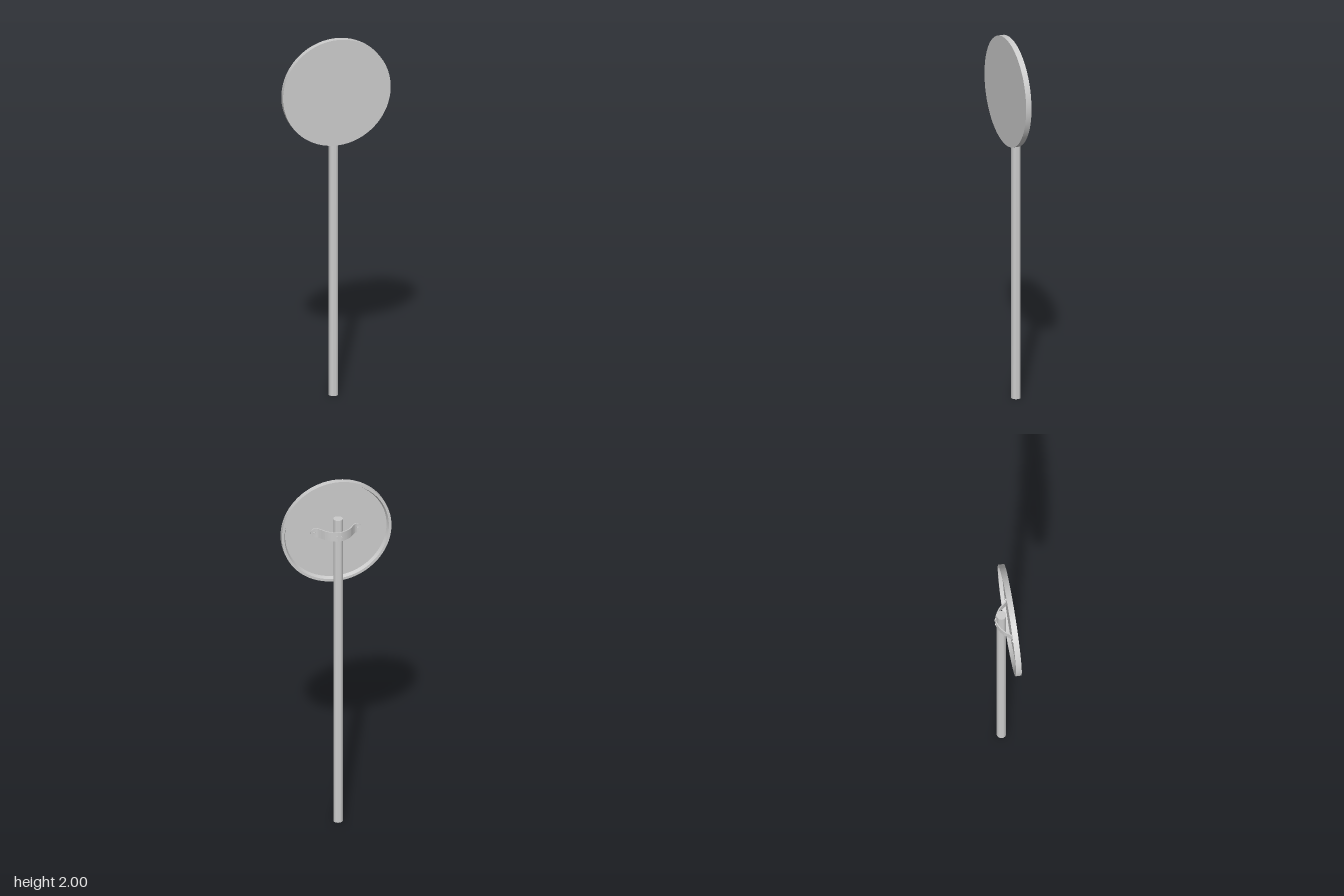
import * as THREE from 'three';
import { toCreasedNormals } from 'three/addons/utils/BufferGeometryUtils.js';

const material = new THREE.MeshStandardMaterial({ color: 0xcccccc });
const POLE_Z = -0.013, SIGN_Y = 1.706, FLOOR_Z = 0.036;

function addPart(group, name, geometry, x = 0, y = 0, z = 0) {
  const mesh = new THREE.Mesh(toCreasedNormals(geometry, 0.6), material);
  mesh.name = name;
  mesh.position.set(x, y, z);
  group.add(mesh);
}

// Bent metal strip: rectangular cross-sections swept along a mirrored path, ends rounded
function strapGeometry() {
  const half = [[0.135, 0.033], [0.105, 0.032], [0.086, 0.015], [0.068, -0.008], [0.036, -0.031]];
  const path = [...half.map(([x, z]) => [-x, z]), [0, -0.042], ...half.slice().reverse()];
  const curve = new THREE.CatmullRomCurve3(path.map(([x, z]) => new THREE.Vector3(x, 0, z)), false, 'centripetal');
  const steps = 120, t = 0.003, positions = [], index = [];
  for (let i = 0; i <= steps; i++) {
    const p = curve.getPointAt(i / steps), d = curve.getTangentAt(i / steps);
    const e = Math.max(0, (Math.abs(p.x) - 0.11) / 0.025);
    const h = 0.026 * Math.sqrt(Math.max(0.03, 1 - e * e));
    const nx = d.z * t, nz = -d.x * t;
    positions.push(p.x + nx, h, p.z + nz, p.x + nx, -h, p.z + nz,
      p.x - nx, -h, p.z - nz, p.x - nx, h, p.z - nz);
    if (i === steps) break;
    for (let k = 0; k < 4; k++) {
      const a = i * 4 + k, b = i * 4 + (k + 1) % 4;
      index.push(a, a + 4, b, b, a + 4, b + 4);
    }
  }
  const n = steps * 4;
  index.push(0, 1, 2, 0, 2, 3, n, n + 2, n + 1, n, n + 3, n + 2);
  const geometry = new THREE.BufferGeometry();
  geometry.setAttribute('position', new THREE.Float32BufferAttribute(positions, 3));
  geometry.setIndex(index);
  geometry.computeVertexNormals();
  return geometry;
}

export function createModel() {
  const model = new THREE.Group();
  model.name = 'roundSign';

  // Pole
  addPart(model, 'pole', new THREE.CylinderGeometry(0.025, 0.025, 1.8, 40), 0, 0.9, POLE_Z);

  // Round panel with a raised rim around its recessed back
  const profile = [[0, FLOOR_Z], [0.272, FLOOR_Z], [0.28, 0.016], [0.294, 0.016], [0.294, 0.046], [0, 0.046]];
  const panel = new THREE.LatheGeometry(profile.map(([r, z]) => new THREE.Vector2(r, z)), 96);
  panel.rotateX(Math.PI / 2);
  addPart(model, 'signPanel', panel, 0, SIGN_Y, 0);

  // Clamp strap around the back of the pole
  addPart(model, 'clampStrap', strapGeometry(), 0, SIGN_Y, 0);

  // Bolt heads: two behind the pole, one on each foot
  for (const side of [-1, 1]) {
    for (const [name, x, z] of [['poleBolt', 0.011, -0.044], ['footBolt', 0.117, 0.028]]) {
      const bolt = new THREE.CylinderGeometry(0.006, 0.006, 0.008, 16);
      bolt.rotateX(Math.PI / 2);
      addPart(model, name, bolt, side * x, SIGN_Y, z);
    }
  }
  return model;
}
